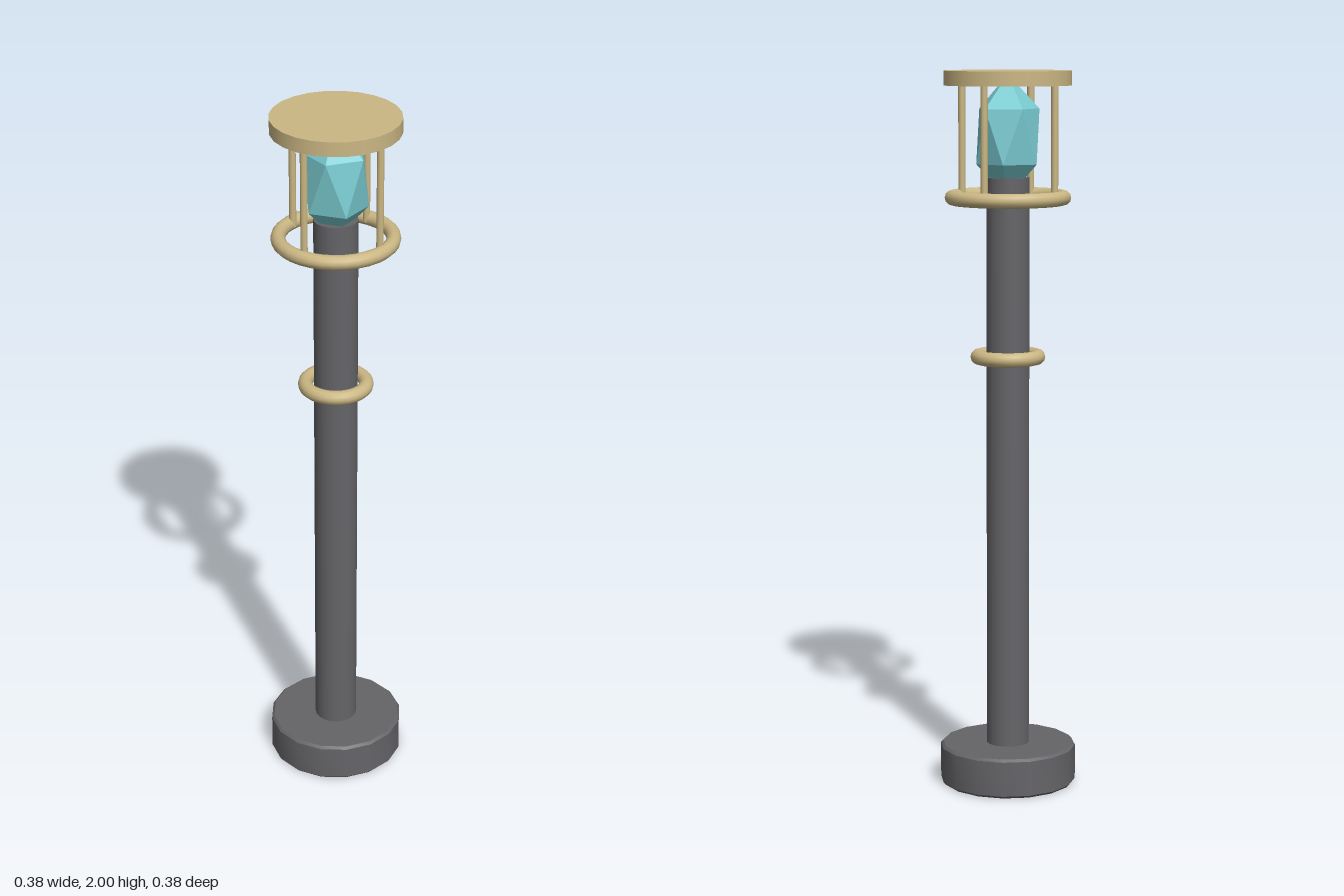
import * as THREE from 'three';
import { toCreasedNormals } from 'three/addons/utils/BufferGeometryUtils.js';

export function createModel() {
  const model = new THREE.Group();
  model.name = 'crystalLampPost';

  const material = (name, color, flatShading = false) => {
    const m = new THREE.MeshStandardMaterial({ color, flatShading });
    m.name = name;
    return m;
  };
  const iron = material('dark iron', 0x656468);
  const brass = material('pale brass', 0xcbb784);
  const crystalBlue = material('crystal teal', 0x7accd2, true);

  const add = (name, geometry, mat, x = 0, y = 0, z = 0) => {
    const mesh = new THREE.Mesh(geometry, mat);
    mesh.name = name;
    mesh.position.set(x, y, z);
    model.add(mesh);
    return mesh;
  };

  // Sixteen-sided foot with a small bevel on both rims
  const r = 0.191, h = 0.112, b = 0.007;
  const profile = [[0, 0], [r - b, 0], [r, b], [r, h - b], [r - b, h], [0, h]]
    .map(([x, y]) => new THREE.Vector2(x, y));
  add('base', toCreasedNormals(new THREE.LatheGeometry(profile, 16), 0.5), iron);

  // Round pole
  const poleTop = 1.71;
  add('pole', new THREE.CylinderGeometry(0.06, 0.06, poleTop - 0.1, 20), iron, 0, (poleTop + 0.1) / 2, 0);

  // Brass rings around the pole
  const ring = (name, radius, y) =>
    add(name, new THREE.TorusGeometry(radius, 0.02, 12, 32).rotateX(Math.PI / 2), brass, 0, y, 0);
  ring('poleRing', 0.084, 1.215);
  ring('cageRing', 0.154, 1.655);

  // Cage rods, one on each axis
  for (let i = 0; i < 4; i++) {
    const a = (i * Math.PI) / 2;
    add('cageRod' + (i + 1), new THREE.CylinderGeometry(0.01, 0.01, 0.32, 10), brass,
      0.142 * Math.sin(a), 1.81, 0.142 * Math.cos(a));
  }

  // Cap disc
  add('cap', new THREE.CylinderGeometry(0.175, 0.175, 0.04, 24), brass, 0, 1.98, 0);

  // Stretched icosahedron standing on one corner
  const gem = new THREE.IcosahedronGeometry(1, 0)
    .rotateX(-Math.atan((1 + Math.sqrt(5)) / 2))
    .rotateY(Math.PI / 2)
    .scale(0.098, 0.168, 0.098);
  add('crystal', gem, crystalBlue, 0, 1.822, 0);

  return model;
}
